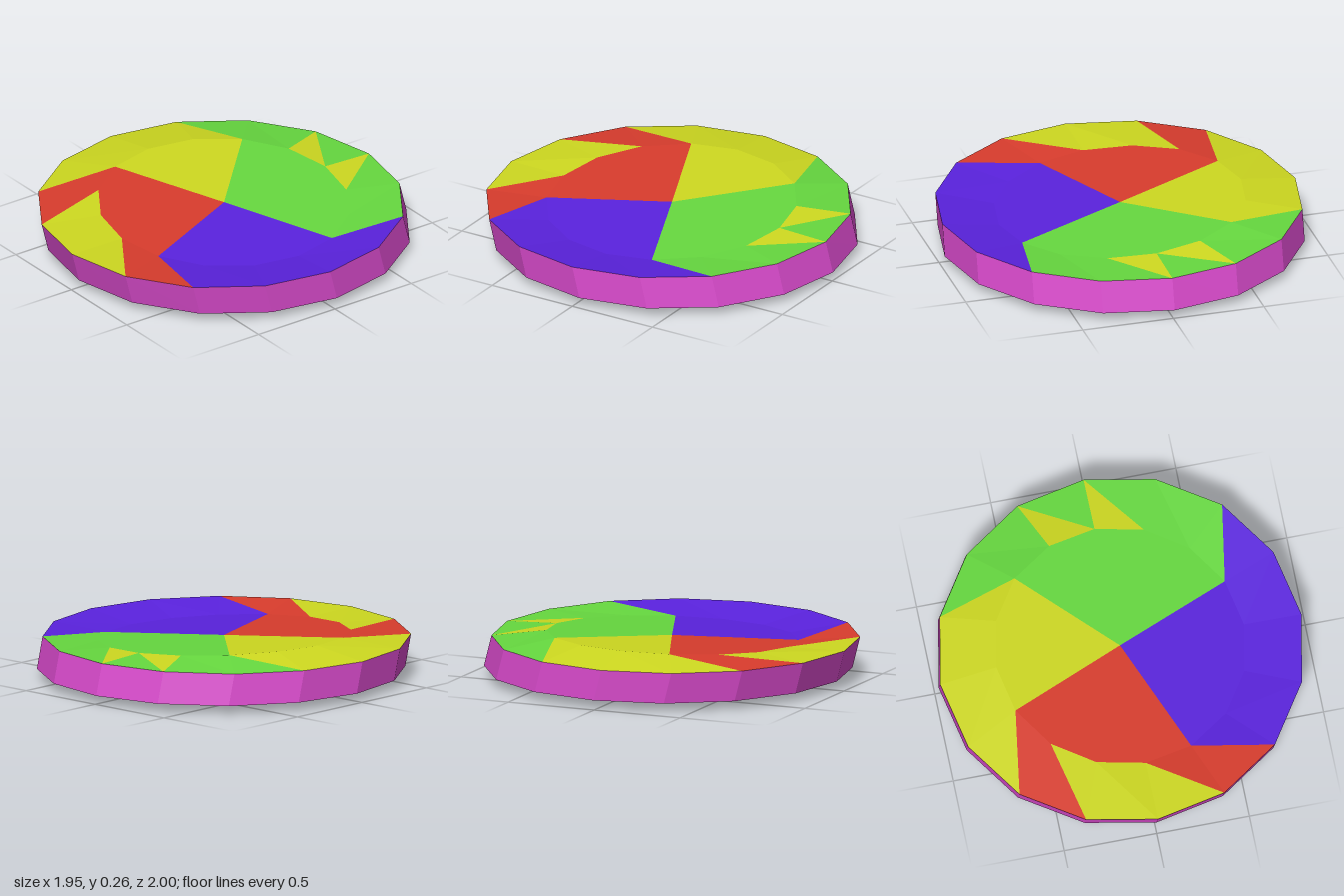
import * as THREE from 'three';

const N = 16;
const COLORS = { red: 0xd83c2d, green: 0x66d83f, blue: 0x5a22dd, yellow: 0xcdd820, magenta: 0xd84acb };

// One corner of a 16-sided ring; heightAt gives y from x and z
function ringPoint(i, radius, zShift, heightAt) {
  const a = (i / N) * Math.PI * 2 + 0.008;
  const x = Math.sin(a) * radius, z = Math.cos(a) * radius + zShift;
  return [x, heightAt(x, z), z];
}

function ring(radius, zShift, heightAt) {
  return Array.from({ length: N }, (_, i) => ringPoint(i, radius, zShift, heightAt));
}

function facetMesh(name, color, triangles) {
  const geometry = new THREE.BufferGeometry();
  geometry.setAttribute('position', new THREE.Float32BufferAttribute(triangles.flat(2), 3));
  geometry.computeVertexNormals();
  const mesh = new THREE.Mesh(geometry, new THREE.MeshStandardMaterial({ color, flatShading: true }));
  mesh.name = name;
  return mesh;
}

// A disc face: a tilted inner fan joined to the rim by a band of triangles.
// Sectors run [colour, first, last]; accents are numbers of single band triangles.
function discFace(name, rim, centreY, sectors, accents, facesUp) {
  const tilt = (x, z) => centreY - 0.06 * x - 0.012 * z;
  const inner = ring(0.67, 0.003, tilt);
  const centre = [0, centreY, 0];
  const byColor = {};
  const add = (color, a, b, c) => (byColor[color] ??= []).push(facesUp ? [a, b, c] : [a, c, b]);

  for (const [color, first, last] of sectors) {
    for (let i = first; i < last; i++) add(color, centre, inner[i % N], inner[(i + 1) % N]);
    for (let s = 2 * first + 1; s <= 2 * last; s++) {
      const slot = s % (2 * N);
      const i = slot >> 1, j = (i + 1) % N;
      const c = accents.includes(slot) ? 'yellow' : color;
      if (slot % 2 === 0) add(c, inner[i], rim[i], rim[j]);
      else add(c, inner[i], rim[j], inner[j]);
    }
  }

  const face = new THREE.Group();
  face.name = name;
  for (const [color, triangles] of Object.entries(byColor)) {
    face.add(facetMesh(`${name} ${color} patches`, COLORS[color], triangles));
  }
  return face;
}

export function createModel() {
  const group = new THREE.Group();
  group.name = 'faceted disc';

  const topRim = ring(0.977, 0.022, (x) => 0.214 + 0.002 * x);
  const bottomRim = ring(0.977, -0.022, () => 0.046);

  // Slanted edge band
  const edge = [];
  for (let i = 0; i < N; i++) {
    const j = (i + 1) % N;
    edge.push([topRim[i], bottomRim[i], bottomRim[j]], [topRim[i], bottomRim[j], topRim[j]]);
  }
  group.add(facetMesh('edge band', COLORS.magenta, edge));

  // Upper and lower patchwork faces
  group.add(discFace('top face', topRim, 0.218,
    [['blue', 1, 5], ['green', 5, 10], ['yellow', 10, 13], ['red', 13, 17]],
    [29, 30, 31, 0, 15, 17], true));
  group.add(discFace('bottom face', bottomRim, 0.04,
    [['blue', 2, 8], ['green', 8, 13], ['red', 13, 18]],
    [8, 15, 31, 0], false));

  return group;
}
